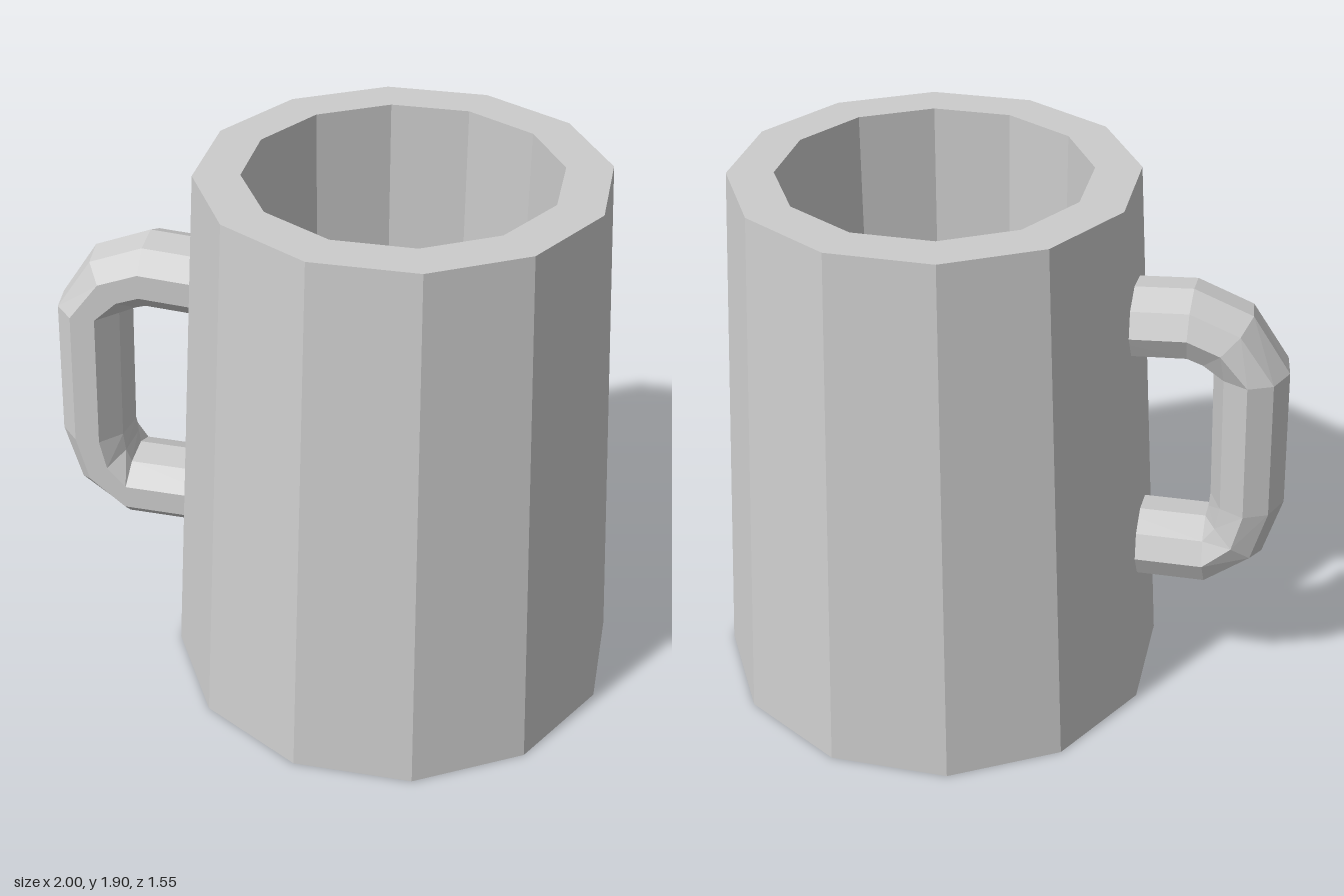
import * as THREE from 'three';

const DEG = Math.PI / 180;

// Tube skinned over rings: each ring is [x, y, outward angle in degrees]
function ringTube(rings, sides, firstAngle, halfDepth, halfThickness) {
  const pos = [];
  const index = [];
  for (const [x, y, deg] of rings) {
    const nx = Math.cos(deg * DEG), ny = Math.sin(deg * DEG);
    for (let j = 0; j < sides; j++) {
      const a = firstAngle * DEG + (j / sides) * Math.PI * 2;
      const r = halfThickness * Math.cos(a);
      pos.push(x + nx * r, y + ny * r, halfDepth * Math.sin(a));
    }
  }
  for (let i = 0; i < rings.length - 1; i++) {
    for (let j = 0; j < sides; j++) {
      const k = (j + 1) % sides;
      const a = i * sides + j, b = i * sides + k;
      index.push(a, a + sides, b, b, a + sides, b + sides);
    }
  }
  // End caps
  const last = (rings.length - 1) * sides;
  for (let j = 1; j < sides - 1; j++) {
    index.push(0, j, j + 1, last, last + j + 1, last + j);
  }
  const geo = new THREE.BufferGeometry();
  geo.setAttribute('position', new THREE.Float32BufferAttribute(pos, 3));
  geo.setIndex(index);
  const flat = geo.toNonIndexed();
  flat.computeVertexNormals();
  return flat;
}

export function createModel() {
  const grey = new THREE.MeshStandardMaterial({ color: 0xcccccc, flatShading: true });
  grey.name = 'light grey';

  const group = new THREE.Group();
  group.name = 'mug';

  // Twelve-sided tapered body with a straight hollow
  const profile = [
    [0, 0], [0.8, 0], [0.678, 1.905], [0.523, 1.905], [0.523, 0.15], [0, 0.15],
  ].map(([r, y]) => new THREE.Vector2(r, y));
  const body = new THREE.Mesh(new THREE.LatheGeometry(profile, 12, Math.PI / 12), grey);
  body.name = 'body';
  body.position.x = 0.226;
  group.add(body);

  // Nine-sided handle, its ends sunk into the wall
  const rings = [
    [-0.36, 1.44, 91],
    [-0.645, 1.46, 90],
    [-0.757, 1.418, 134],
    [-0.852, 1.31, 180],
    [-0.872, 0.805, 180],
    [-0.84, 0.668, 219],
    [-0.745, 0.578, 265],
    [-0.36, 0.57, 270],
  ];
  const handle = new THREE.Mesh(ringTube(rings, 9, -10, 0.162, 0.128), grey);
  handle.name = 'handle';
  group.add(handle);

  return group;
}
